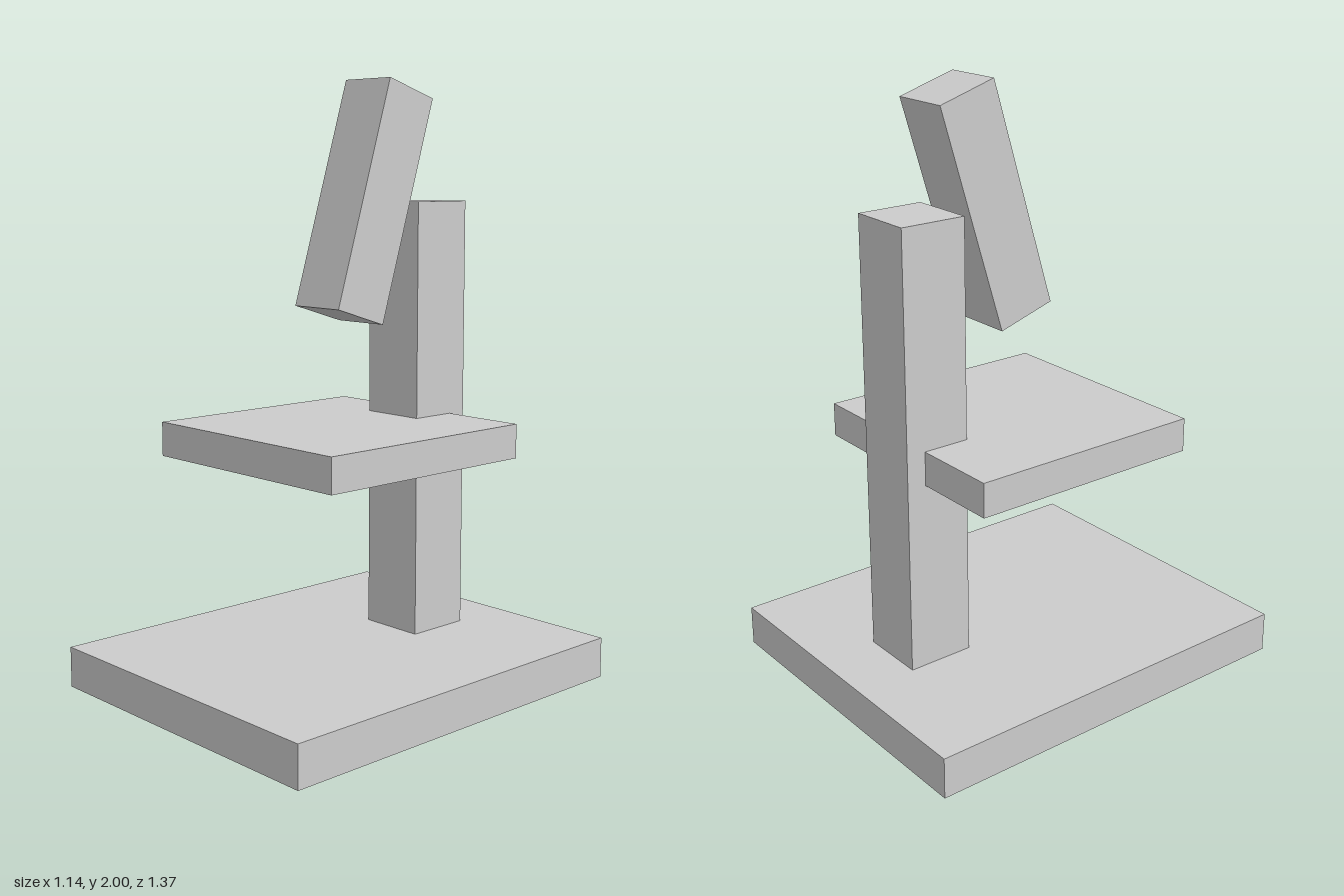
import * as THREE from 'three';

export function createModel() {
  const model = new THREE.Group();
  const grey = new THREE.MeshStandardMaterial({ color: 0xcccccc });
  grey.name = 'light grey';

  function addBox(name, size, position) {
    const mesh = new THREE.Mesh(new THREE.BoxGeometry(...size), grey);
    mesh.name = name;
    mesh.position.set(...position);
    model.add(mesh);
    return mesh;
  }

  // Foot plate and the upright at its rear
  addBox('base', [1.144, 0.137, 1.372], [0, 0.0685, 0]);
  addBox('column', [0.228, 1.468, 0.228], [0, 0.871, -0.365]);

  // Square stage that the column passes through
  addBox('stage', [0.824, 0.114, 0.824], [0, 0.828, 0]);

  // Viewing tube, leaning back
  const tube = addBox('tube', [0.206, 0.764, 0.206], [0, 1.605, -0.115]);
  tube.rotation.x = -0.3;

  return model;
}
